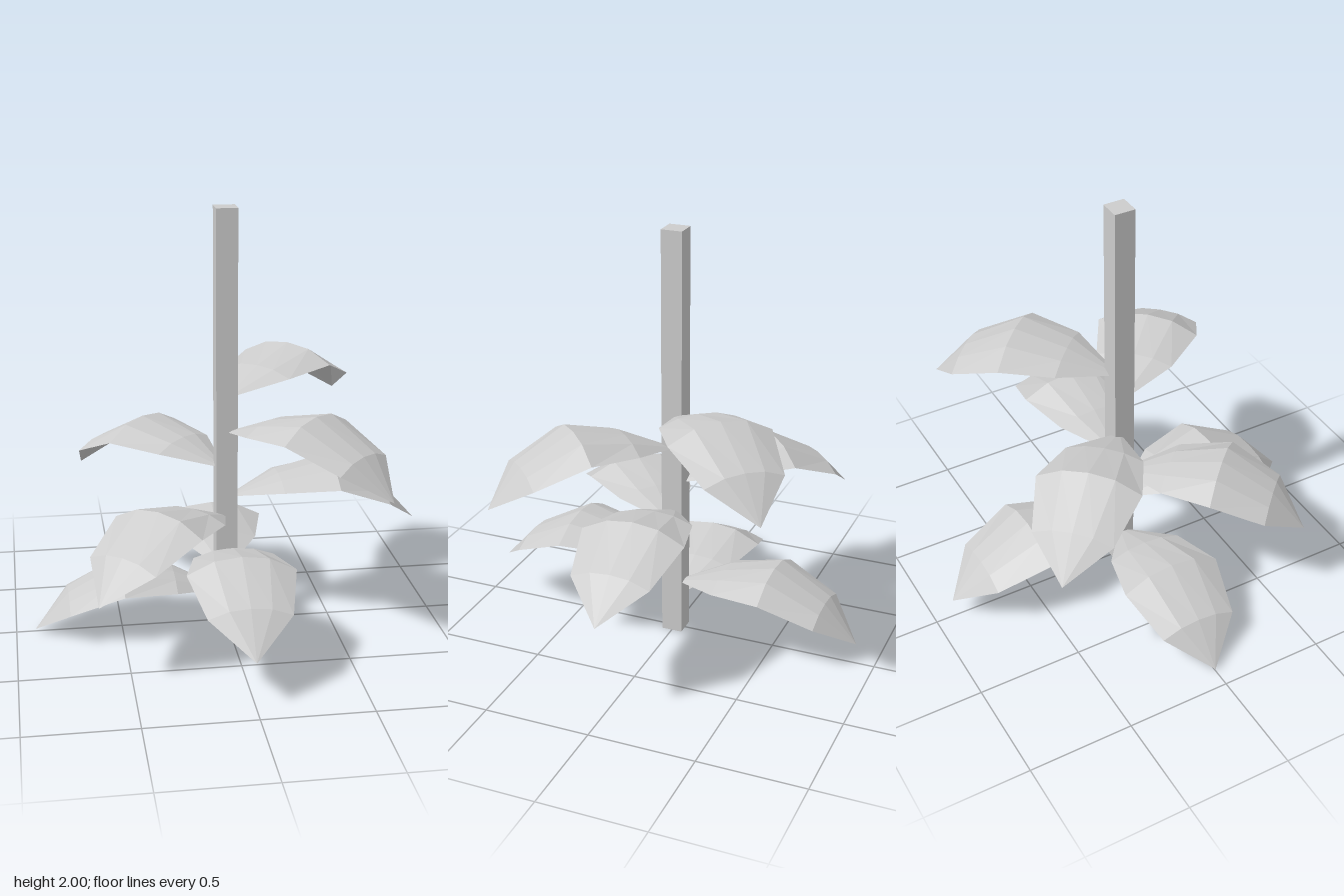
import * as THREE from 'three';

// Leaf cross-sections from stem to tip: distance, rib height, half width, drop at the edge
const SECTIONS = [
  [0, 0, 0, 0],
  [0.25, 0.106, 0.185, 0.038],
  [0.5, 0.166, 0.247, 0.075],
  [0.75, 0.03, 0.187, 0.042],
  [0.91, -0.15, 0, 0],
];

// Leaves spiralling up the stem: x direction, z direction, height of the base
const LEAVES = [
  [-1, 0, 0.16], [0, -1, 0.25], [0, 1, 0.365], [-1, 1, 0.54],
  [1, 0, 0.63], [-1, -1, 0.77], [1, 1, 0.95], [1, -1, 1.11],
];

// Arched, faceted leaf blade pointing along +z
function leafGeometry() {
  const across = [-1, -0.5, 0, 0.5, 1];
  const n = across.length;
  const positions = [];
  const index = [];
  for (const [r, y, w, drop] of SECTIONS) {
    for (const t of across) {
      const sag = Math.abs(t) === 1 ? drop : Math.abs(t) * 0.4 * drop;
      positions.push(t * w, y - sag, r);
    }
  }
  for (let i = 0; i < SECTIONS.length - 1; i++) {
    for (let j = 0; j < n - 1; j++) {
      const a = i * n + j, b = a + n;
      // the first and last sections are single points, so they need one triangle
      if (i < SECTIONS.length - 2) index.push(a, b, b + 1);
      if (i > 0) index.push(a, i < SECTIONS.length - 2 ? b + 1 : b, a + 1);
    }
  }
  const indexed = new THREE.BufferGeometry();
  indexed.setAttribute('position', new THREE.Float32BufferAttribute(positions, 3));
  indexed.setIndex(index);
  const geometry = indexed.toNonIndexed();
  geometry.computeVertexNormals();
  return geometry;
}

export function createModel() {
  const group = new THREE.Group();
  group.name = 'plant';
  const grey = new THREE.MeshStandardMaterial({
    name: 'lightGrey', color: 0xcccccc, flatShading: true, side: THREE.DoubleSide,
  });

  // Square stem
  const stem = new THREE.Mesh(new THREE.BoxGeometry(0.1, 2, 0.1), grey);
  stem.name = 'stem';
  stem.position.y = 1;
  group.add(stem);

  // Leaves
  const blade = leafGeometry();
  LEAVES.forEach(([x, z, y], i) => {
    const leaf = new THREE.Mesh(blade, grey);
    leaf.name = `leaf${i + 1}`;
    leaf.position.y = y;
    leaf.rotation.y = Math.atan2(x, z);
    group.add(leaf);
  });
  return group;
}
